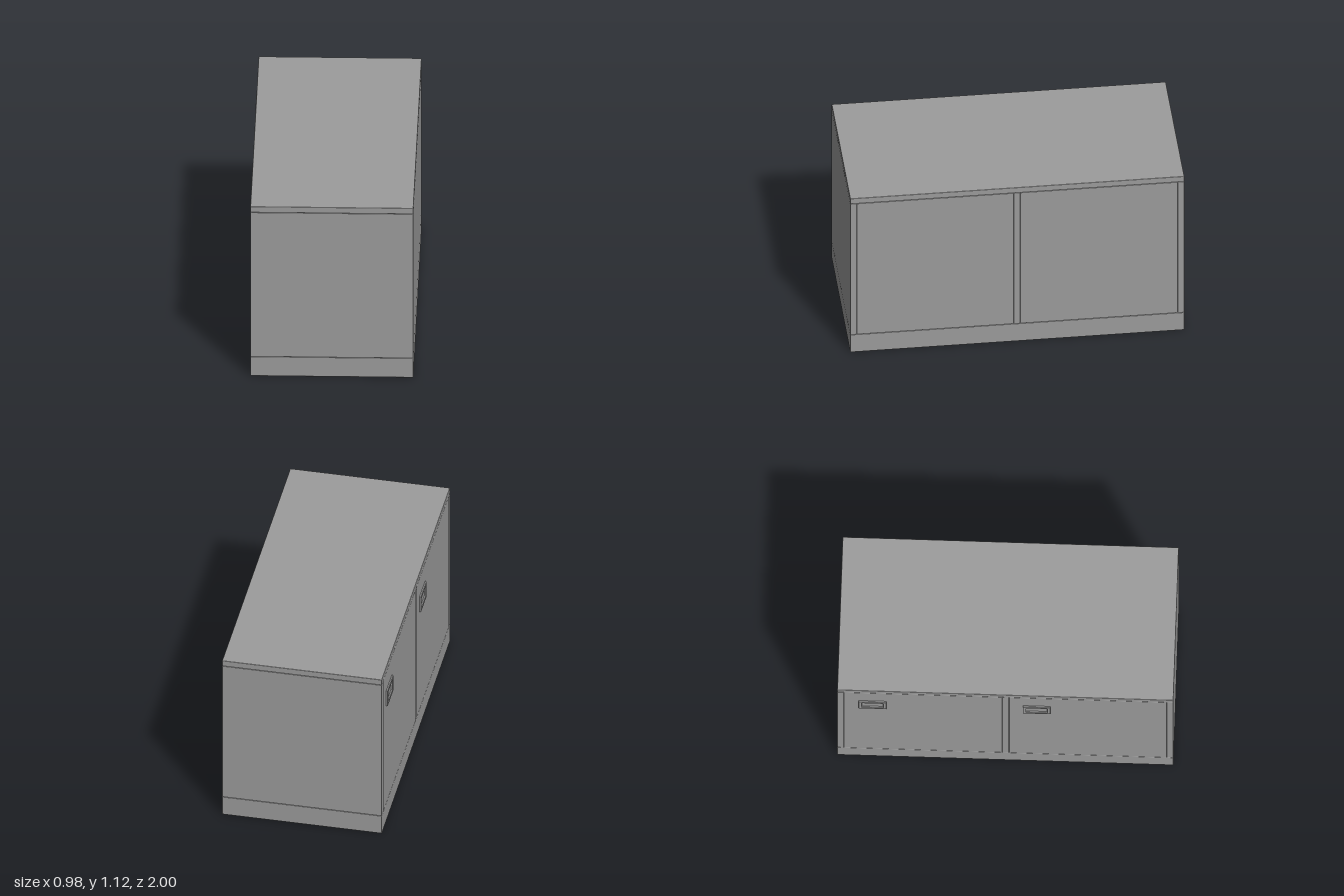
import * as THREE from 'three';
import { RoundedBoxGeometry } from 'three/addons/geometries/RoundedBoxGeometry.js';

const material = new THREE.MeshStandardMaterial({ color: 0x9c9c9c });
const X0 = -0.48, X1 = 0.49, PLINTH = 0.128, BODY = 1.086, TOP = 1.125;

// Softly bevelled board given by its min and max corners
function board(name, [x0, y0, z0], [x1, y1, z1]) {
  const geometry = new RoundedBoxGeometry(x1 - x0, y1 - y0, z1 - z0, 2, 0.004);
  const mesh = new THREE.Mesh(geometry, material);
  mesh.position.set((x0 + x1) / 2, (y0 + y1) / 2, (z0 + z1) / 2);
  mesh.name = name;
  return mesh;
}

// Rectangle centred on the origin
function rectangle(Type, w, h) {
  return new Type([[-1, -1], [1, -1], [1, 1], [-1, 1]]
    .map(([x, y]) => new THREE.Vector2(x * w / 2, y * h / 2)));
}

// Flat rectangular frame used as a door pull
function handle(z) {
  const bevel = 0.002;
  const shape = rectangle(THREE.Shape, 0.165 - 2 * bevel, 0.11 - 2 * bevel);
  shape.holes.push(rectangle(THREE.Path, 0.125 + 2 * bevel, 0.07 + 2 * bevel));
  const geometry = new THREE.ExtrudeGeometry(shape, {
    depth: 0.008, bevelEnabled: true, bevelSize: bevel, bevelThickness: bevel, bevelSegments: 1,
  });
  geometry.rotateY(-Math.PI / 2);
  const mesh = new THREE.Mesh(geometry, material);
  mesh.position.set(X0, 0.9, z);
  mesh.name = 'handle';
  return mesh;
}

export function createModel() {
  const model = new THREE.Group();
  model.name = 'sideboard';

  // Base and worktop
  model.add(board('plinth', [X0, 0, -1], [X1, PLINTH, 1]));
  model.add(board('top', [X0, BODY, -1], [X1, TOP, 1]));

  // End panels and central divider
  for (const [name, z] of [['backEndPanel', -0.98], ['divider', 0.002], ['frontEndPanel', 0.98]]) {
    model.add(board(name, [X0, PLINTH, z - 0.02], [X1, BODY, z + 0.02]));
  }

  // Door and opposite panel of each compartment
  for (const [z0, z1] of [[-0.96, -0.018], [0.022, 0.96]]) {
    model.add(board('door', [X0, PLINTH, z0], [X0 + 0.04, BODY, z1]));
    model.add(board('rearPanel', [X1 - 0.04, PLINTH, z0], [X1, BODY, z1]));
  }

  // Door handles
  for (const z of [-0.79, 0.187]) model.add(handle(z));

  return model;
}
